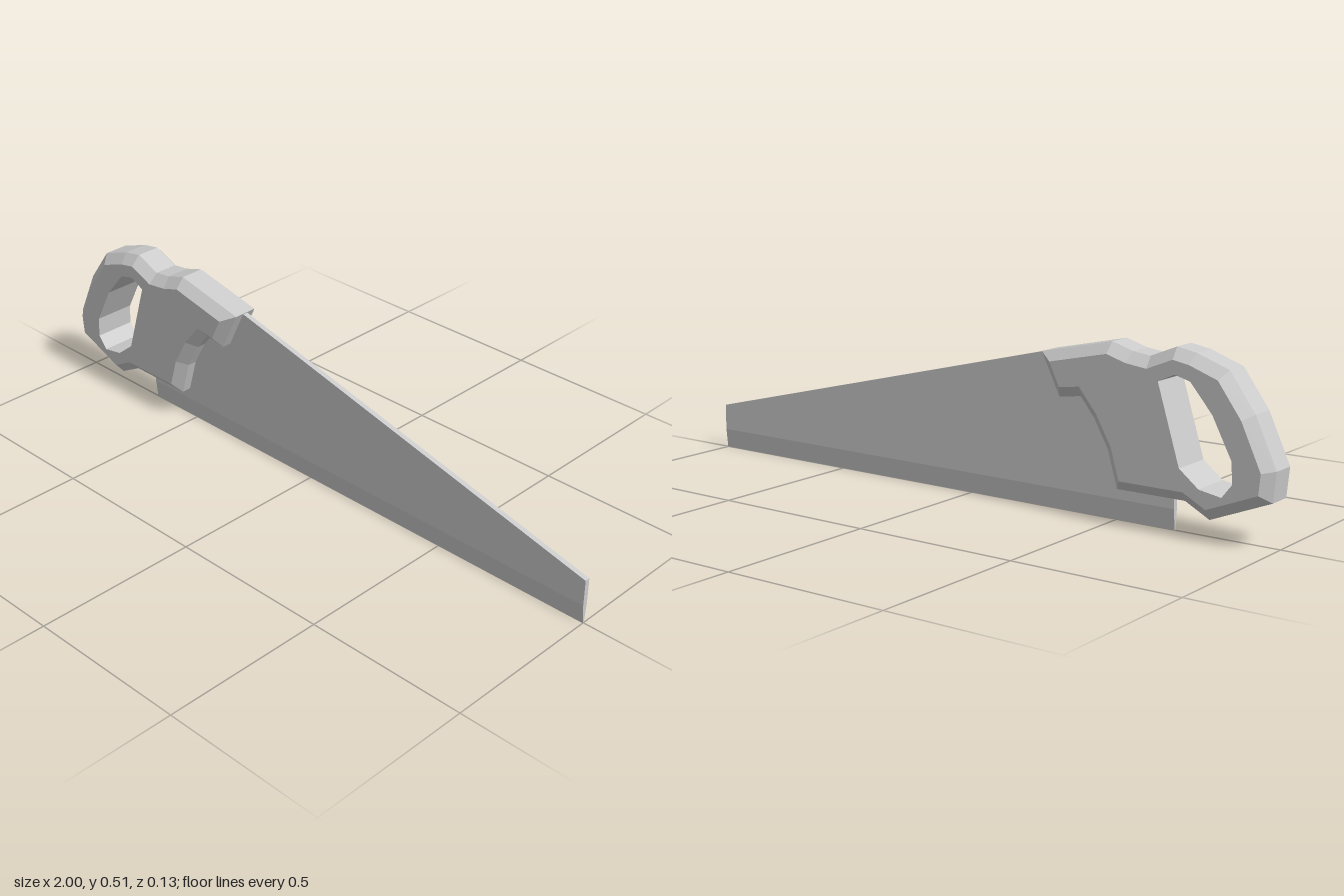
import * as THREE from 'three';

// Handle outline (counter-clockwise) and grip opening (clockwise)
const OUTLINE = [
  [-1, 0.215], [-0.992, 0.13], [-0.81, 0.057], [-0.735, 0.097], [-0.522, 0.097],
  [-0.49, 0.205], [-0.445, 0.285], [-0.4, 0.34], [-0.33, 0.33], [-0.27, 0.452],
  [-0.5, 0.502], [-0.565, 0.482], [-0.62, 0.475], [-0.7, 0.508], [-0.76, 0.497],
  [-0.857, 0.462], [-0.935, 0.355],
].map(([x, y]) => new THREE.Vector2(x, y));
const OPENING = [
  [-0.757, 0.425], [-0.71, 0.438], [-0.66, 0.415], [-0.73, 0.19], [-0.79, 0.142],
  [-0.858, 0.13], [-0.888, 0.168], [-0.885, 0.23], [-0.825, 0.345],
].map(([x, y]) => new THREE.Vector2(x, y));

// Moves every edge of a counter-clockwise outline inwards by d
function inset(pts, d) {
  const n = pts.length;
  const normal = (a, b) => new THREE.Vector2(a.y - b.y, b.x - a.x).normalize();
  return pts.map((p, i) => {
    const n1 = normal(pts[(i + n - 1) % n], p);
    const n2 = normal(p, pts[(i + 1) % n]);
    return n1.clone().add(n2).multiplyScalar(d / (1 + n1.dot(n2))).add(p);
  });
}

// Skins a series of closed rings of Vector3 with flat quads
function skin(rings) {
  const pos = [];
  for (let r = 0; r < rings.length - 1; r++) {
    const lo = rings[r], hi = rings[r + 1];
    lo.forEach((a, i) => {
      const j = (i + 1) % lo.length;
      for (const v of [a, lo[j], hi[j], a, hi[j], hi[i]]) pos.push(v.x, v.y, v.z);
    });
  }
  const geo = new THREE.BufferGeometry();
  geo.setAttribute('position', new THREE.Float32BufferAttribute(pos, 3));
  geo.computeVertexNormals();
  return geo;
}

const atDepth = (pts, z) => pts.map((p) => new THREE.Vector3(p.x, p.y, z));

export function createModel() {
  const saw = new THREE.Group();
  saw.name = 'handSaw';
  const material = new THREE.MeshStandardMaterial({ color: 0xcccccc, flatShading: true });
  const add = (parent, name, geo) => {
    const mesh = new THREE.Mesh(geo, material);
    mesh.name = name;
    parent.add(mesh);
    return mesh;
  };

  // Handle: chamfered rim, straight grip opening, flat cheeks
  const handle = new THREE.Group();
  handle.name = 'handle';
  saw.add(handle);
  const half = 0.065, flat = 0.037;
  const cheek = inset(OUTLINE, 0.03);
  add(handle, 'handleRim', skin([
    atDepth(cheek, -half), atDepth(OUTLINE, -flat), atDepth(OUTLINE, flat), atDepth(cheek, half),
  ]));
  add(handle, 'gripOpening', skin([atDepth(OPENING, -half), atDepth(OPENING, half)]));

  const shape = new THREE.Shape(cheek);
  shape.holes.push(new THREE.Path(OPENING));
  add(handle, 'frontCheek', new THREE.ShapeGeometry(shape)).position.z = half;
  const mirrored = new THREE.Shape(cheek.map((p) => new THREE.Vector2(-p.x, p.y)));
  mirrored.holes.push(new THREE.Path(OPENING.map((p) => new THREE.Vector2(-p.x, p.y))));
  const back = add(handle, 'backCheek', new THREE.ShapeGeometry(mirrored));
  back.rotation.y = Math.PI;
  back.position.z = -half;

  // Blade: sections along x, thinned towards the cutting edge
  const t = 0.008, edge = 0.002, taper = 0.06;
  const section = (x, top, s = 1) => [
    [0, edge], [taper, t], [top, t], [top, -t], [taper, -t], [0, -edge],
  ].map(([y, z]) => new THREE.Vector3(x, y, z * s));
  const stations = [[-0.685, 0.11], [-0.62, 0.43], [-0.27, 0.45], [1, 0.14]];
  const rings = stations.map(([x, top]) => section(x, top));
  // Collapsed end rings close the heel and the toe
  rings.unshift(section(-0.685, 0.11, 0));
  rings.push(section(1, 0.14, 0));
  // Section order runs clockwise seen from the toe, so skin from toe to heel
  add(saw, 'blade', skin(rings.reverse()));
  return saw;
}
